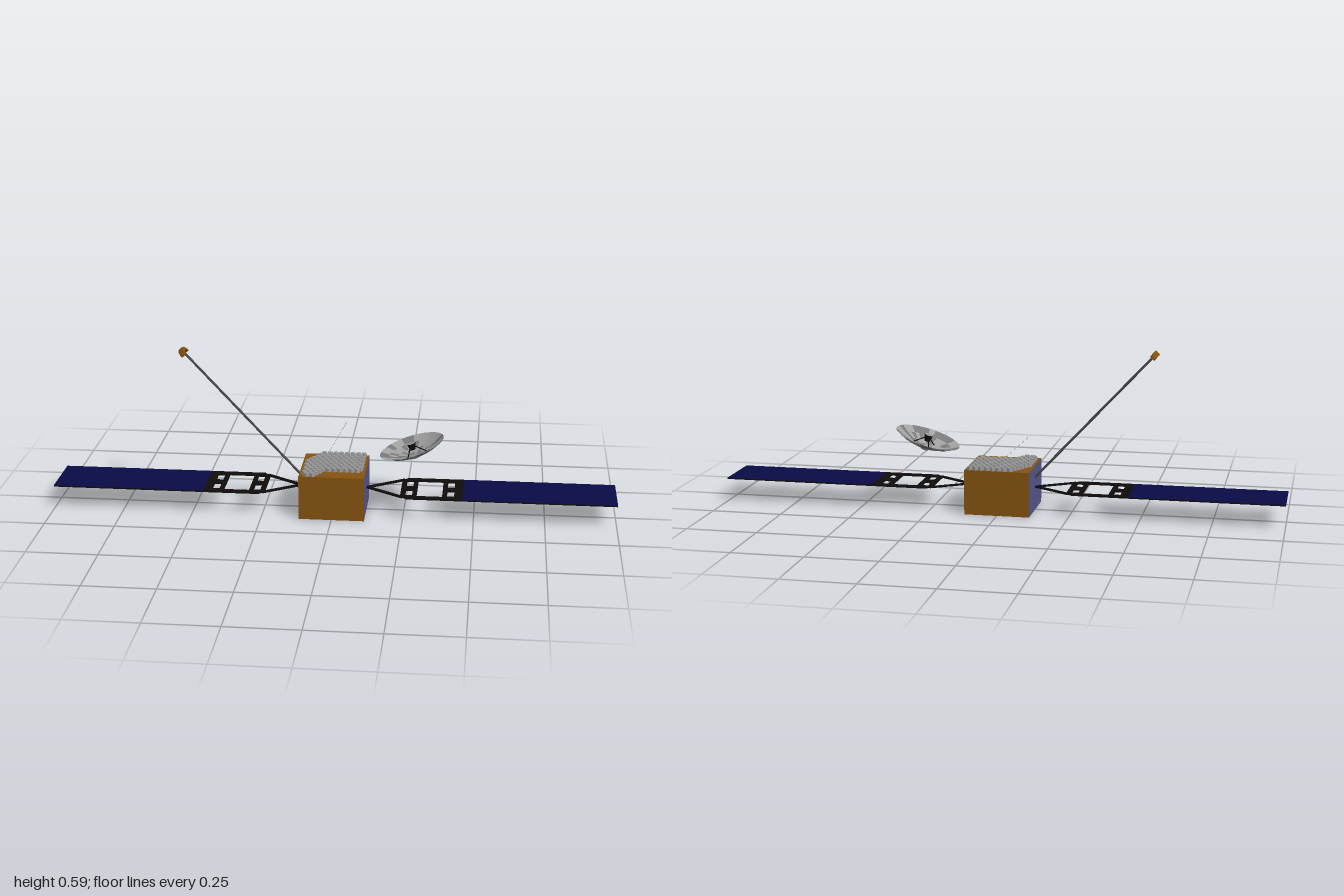
import * as THREE from 'three';

const paint = (name, color, extra = {}) => new THREE.MeshStandardMaterial({ name, color, ...extra });

export function createModel() {
  const gold = paint('gold foil', 0x85530f);
  const blueGrey = paint('blue grey radiator', 0x55578a);
  const navy = paint('solar cell navy', 0x0b0b48);
  const black = paint('black frame', 0x0f0c0b);
  const darkGrey = paint('dark grey boom', 0x4a4a4c);
  const tileGrey = paint('tile grey', 0x949494);
  const dishLight = paint('dish light grey', 0xa2a2a2, { side: THREE.DoubleSide });
  const dishMid = paint('dish mid grey', 0x7a7a7a, { side: THREE.DoubleSide });

  const root = new THREE.Group();
  root.name = 'satellite';

  const add = (parent, name, geometry, material, x = 0, y = 0, z = 0) => {
    const mesh = new THREE.Mesh(geometry, material);
    mesh.name = name;
    mesh.position.set(x, y, z);
    parent.add(mesh);
    return mesh;
  };

  // Round rod between two points
  const rod = (parent, name, a, b, radius, material, sides = 8) => {
    const from = new THREE.Vector3(...a);
    const dir = new THREE.Vector3(...b).sub(from);
    const mesh = add(parent, name, new THREE.CylinderGeometry(radius, radius, dir.length(), sides), material);
    mesh.position.copy(from).addScaledVector(dir, 0.5);
    mesh.quaternion.setFromUnitVectors(new THREE.Vector3(0, 1, 0), dir.normalize());
    return mesh;
  };

  // Body: foil box with radiator sides
  add(root, 'body', new THREE.BoxGeometry(0.232, 0.16, 0.238),
    [blueGrey, blueGrey, gold, gold, gold, gold], 0, 0.08, 0);

  // Hexagonal antenna elements on the roof, two opposite corners left bare
  const tiles = new THREE.Group();
  tiles.name = 'antennaArray';
  root.add(tiles);
  const tileGeo = new THREE.CylinderGeometry(0.0095, 0.0115, 0.013, 6).toNonIndexed();
  tileGeo.computeVertexNormals();
  const step = 0.0205;
  for (let row = 0; row < 13; row++) {
    const z = (row - 6) * 0.018;
    for (let col = 0; col < 11; col++) {
      const x = (col - 5) * step + (row % 2 ? step / 4 : -step / 4);
      const frontBare = z > 0.06 && x > -0.02 - (z - 0.06) * 0.8;
      const backBare = z < -0.05 && x < -0.1 - (z + 0.05) * 0.8;
      if (Math.abs(x) > 0.107 || frontBare || backBare) continue;
      add(tiles, 'antennaElement', tileGeo, tileGrey, x, 0.1655, z);
    }
  }

  // Solar wing, built towards +x and turned round for the other side
  const wingY = 0.0835, thick = 0.005;
  const frameShape = new THREE.Shape([
    [0.24, -0.075], [0.262, -0.1], [0.46, -0.1], [0.46, 0.1], [0.262, 0.1], [0.24, 0.075],
  ].map(([x, y]) => new THREE.Vector2(x, y)));
  const cut = (x0, x1, y0, y1) => frameShape.holes.push(new THREE.Path(
    [[x0, y0], [x0, y1], [x1, y1], [x1, y0]].map(([x, y]) => new THREE.Vector2(x, y))));
  cut(0.298, 0.388, -0.075, 0.075);
  for (const [a, b] of [[0.258, 0.282], [0.405, 0.43]]) {
    cut(a, b, 0.018, 0.07);
    cut(a, b, -0.07, -0.018);
  }
  const frameGeo = new THREE.ExtrudeGeometry(frameShape, { depth: thick, bevelEnabled: false });
  frameGeo.rotateX(-Math.PI / 2).translate(0, -thick / 2, 0);

  for (const turn of [0, Math.PI]) {
    const wing = new THREE.Group();
    wing.name = turn ? 'rightWing' : 'leftWing';
    wing.position.y = wingY;
    wing.rotation.y = turn;
    root.add(wing);
    add(wing, 'solarPanel', new THREE.BoxGeometry(0.54, thick, 0.2),
      [black, black, navy, navy, black, black], 0.73, 0, 0);
    add(wing, 'wingFrame', frameGeo, black);
    // V-shaped yoke
    for (const s of [-1, 1]) {
      const strut = add(wing, 'yokeStrut', new THREE.BoxGeometry(0.157, thick, 0.013), black, 0.184, 0, s * 0.043);
      strut.rotation.y = -s * Math.atan2(0.086, 0.131);
    }
  }

  // Boom with an arched sensor head
  rod(root, 'boom', [-0.112, 0.115, 0], [-0.542, 0.578, 0], 0.0045, darkGrey);
  const arch = new THREE.Shape();
  arch.moveTo(-0.026, -0.018);
  arch.quadraticCurveTo(-0.026, 0.002, 0, 0.008);
  arch.quadraticCurveTo(0.026, 0.002, 0.026, -0.018);
  arch.lineTo(0.014, -0.012);
  arch.lineTo(0, -0.005);
  arch.lineTo(-0.014, -0.012);
  arch.closePath();
  const archGeo = new THREE.ExtrudeGeometry(arch, { depth: 0.02, bevelEnabled: false, curveSegments: 6 });
  archGeo.translate(0, 0, -0.01).rotateY(Math.PI / 2);
  add(root, 'sensorHead', archGeo, gold, -0.539, 0.574, 0).rotation.z = 0.75;

  // Tilted dish, its axis leaning towards the body
  const dish = new THREE.Group();
  dish.name = 'dish';
  dish.position.set(0.275, 0.245, 0);
  dish.rotation.z = 0.31;
  root.add(dish);
  const R = 0.118, depth = 0.036, rings = 4, sides = 32;
  const profile = [];
  for (let i = 0; i <= rings; i++) {
    const t = i / rings;
    profile.push(new THREE.Vector2(0.001 + (R - 0.001) * t, -depth * (1 - t * t)));
  }
  // Mottled foil: each facet takes one of two greys
  const bowl = new THREE.LatheGeometry(profile, sides);
  let seed = 7;
  const rand = () => (seed = (seed * 16807) % 2147483647) / 2147483647;
  const facets = bowl.index.count / 6;
  for (let i = 0; i < facets; i++) bowl.addGroup(i * 6, 6, rand() < 0.55 ? 0 : 1);
  add(dish, 'dishBowl', bowl, [dishLight, dishMid]);
  add(dish, 'dishHub', new THREE.CylinderGeometry(0.018, 0.014, 0.01, 12), tileGrey, 0, -depth - 0.004, 0);
  // Feed horn and its struts
  add(dish, 'feedHorn', new THREE.CylinderGeometry(0.016, 0.01, 0.024, 12), [black, tileGrey, black], 0, -0.001, 0);
  for (let i = 0; i < 3; i++) {
    const a = (i / 3) * Math.PI * 2;
    rod(dish, 'feedStrut', [0.045 * Math.cos(a), -0.031, 0.045 * Math.sin(a)],
      [0.01 * Math.cos(a), -0.002, 0.01 * Math.sin(a)], 0.002, black, 5);
  }

  // Hair-thin whip antennas, front and back
  for (const s of [-1, 1]) {
    rod(root, 'whipAntenna', [s * 0.06, 0.117, s * 0.118], [0, 0.157, s * 0.49], 0.0004, darkGrey, 4);
  }

  return root;
}
